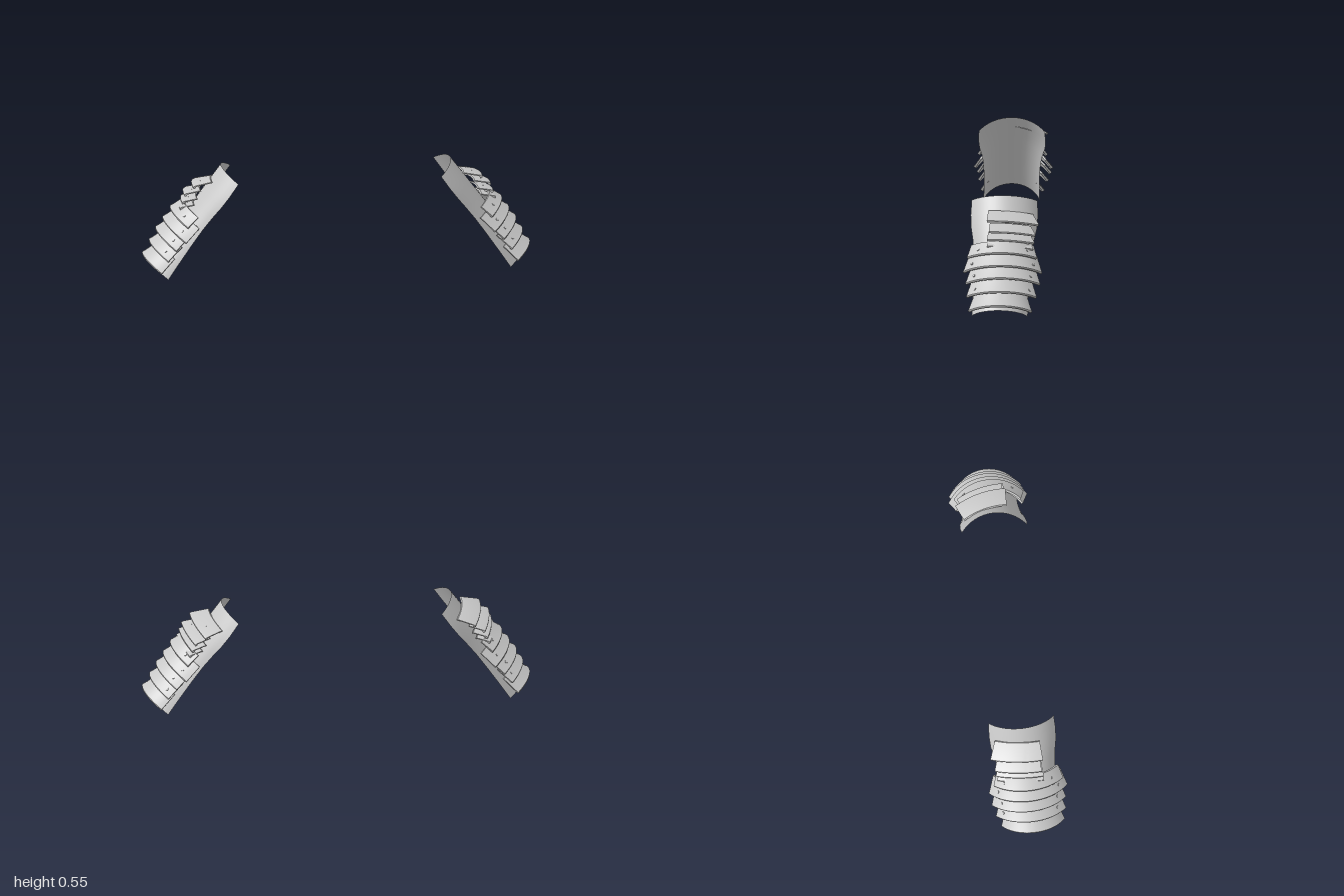
import * as THREE from 'three';
import { toCreasedNormals } from 'three/addons/utils/BufferGeometryUtils.js';

const steel = new THREE.MeshStandardMaterial({ color: 0xc8c8c8, side: THREE.DoubleSide });
steel.name = 'steel';

// Arm frame: s runs down the arm, h points outward, z stays front to back.
const toWorld = (s, h, z, side) =>
  new THREE.Vector3(side * (0.59 + 0.6 * s + 0.8 * h), 0.556 - 0.8 * s + 0.6 * h, z);

// Skins a row of cross-sections; closed sections also get end caps.
function sweep(rings, closed, side) {
  const n = rings[0].length, pos = [], idx = [];
  const tri = (a, b, c) => (side > 0 ? idx.push(a, b, c) : idx.push(a, c, b));
  rings.forEach(r => r.forEach(p => pos.push(...toWorld(...p, side).toArray())));
  for (let i = 0; i < rings.length - 1; i++) {
    for (let j = 0; j < (closed ? n : n - 1); j++) {
      const k = (j + 1) % n, a = i * n + j, b = i * n + k;
      tri(a, a + n, b);
      tri(b, a + n, b + n);
    }
  }
  if (closed) {
    const e = (rings.length - 1) * n;
    for (let j = 0; j < n / 2 - 1; j++) {
      const q = [j, j + 1, n - 2 - j, n - 1 - j];
      tri(q[0], q[1], q[2]);
      tri(q[0], q[2], q[3]);
      tri(e + q[0], e + q[2], e + q[1]);
      tri(e + q[0], e + q[3], e + q[2]);
    }
  }
  const g = new THREE.BufferGeometry();
  g.setAttribute('position', new THREE.Float32BufferAttribute(pos, 3));
  g.setIndex(idx);
  return toCreasedNormals(g, 0.75);
}

function addMesh(group, name, geometry) {
  const m = new THREE.Mesh(geometry, steel);
  m.name = name;
  group.add(m);
  return m;
}

// Flared curved plate with a rolled lower rim and studs.
function addPlate(group, name, side, o) {
  const { s, h, L, k, t, R, zc, z0, z1, studs = [], studS } = o;
  const loop = [
    [-L, -k * L], [-0.016, -0.005], [-0.006, 0], [0, -0.005],
    [0, -t + 0.004], [-0.006, -t - 0.002], [-0.016, -t], [-L, -k * L - t * 0.6],
  ];
  const at = (phi, ds, dh) => [
    s + ds, h - R * (1 - Math.cos(phi)) + dh * Math.cos(phi), zc + (R + dh) * Math.sin(phi),
  ];
  const p0 = Math.asin((z0 - zc) / R), p1 = Math.asin((z1 - zc) / R), N = 18;
  const rings = [];
  for (let i = 0; i <= N; i++) {
    const phi = p0 + (p1 - p0) * i / N;
    rings.push(loop.map(([ds, dh]) => at(phi, ds, dh)));
  }
  addMesh(group, name, sweep(rings, true, side));
  for (const z of studs) {
    const phi = Math.asin((z - zc) / R);
    const base = toWorld(...at(phi, -studS, -k * studS), side);
    const tip = toWorld(...at(phi, -studS - k * 0.01, -k * studS + 0.01), side);
    const stud = addMesh(group, name + 'Stud', new THREE.CylinderGeometry(0.0075, 0.0075, 0.008, 12));
    stud.position.copy(base);
    stud.quaternion.setFromUnitVectors(new THREE.Vector3(0, 1, 0), tip.sub(base).normalize());
  }
}

// Thin curved backing shell, waisted below the wide top.
function addShell(group, side) {
  const rows = [ // s, half width, sag, z shift
    [0, 0.168, 0.085, 0], [0.08, 0.172, 0.088, 0], [0.15, 0.168, 0.088, 0],
    [0.22, 0.155, 0.086, 0.002], [0.3, 0.146, 0.085, 0.005], [0.4, 0.142, 0.088, 0.008],
    [0.52, 0.142, 0.093, 0.011], [0.616, 0.143, 0.098, 0.013],
  ];
  const rings = [], N = 16;
  for (let i = 0; i <= N; i++) {
    rings.push(rows.map(([s, w, f, dz]) => {
      const R = (w * w + f * f) / (2 * f);
      const phi = (2 * i / N - 1) * 2 * Math.atan(f / w);
      return [s, -R * (1 - Math.cos(phi)), dz + R * Math.sin(phi)];
    }));
  }
  addMesh(group, 'backingShell', sweep(rings, false, side));
}

function createGuard(side) {
  const group = new THREE.Group();
  group.name = side > 0 ? 'leftArmGuard' : 'rightArmGuard';
  addShell(group, side);

  // Wide overlapping plates: s, h, half width, drop, z shift, length, stud z
  const bands = [
    [0.336, 0.081, 0.180, 0.085, 0.004, 0.075, 0.133],
    [0.403, 0.077, 0.203, 0.118, 0.001, 0.1, 0.165],
    [0.468, 0.074, 0.192, 0.102, -0.002, 0.1, 0.153],
    [0.538, 0.063, 0.181, 0.092, 0.004, 0.1, 0.148],
    [0.611, 0.054, 0.164, 0.098, 0.010, 0.1, 0],
  ];
  bands.forEach(([s, h, w, f, zc, L, stud], i) => addPlate(group, 'widePlate' + (i + 1), side, {
    s, h, L, k: 0.35, t: 0.017, R: (w * w + f * f) / (2 * f), zc, z0: zc - w, z1: zc + w,
    studs: stud ? [-stud, stud] : [], studS: 0.035,
  }));

  // Narrow upper strips: s, h, length, back z, front z
  const strips = [
    [0.165, 0.076, 0.08, -0.18, 0.084],
    [0.226, 0.085, 0.07, -0.165, 0.072],
    [0.264, 0.072, 0.065, -0.16, 0.08],
    [0.295, 0.062, 0.06, -0.155, 0.08],
  ];
  strips.forEach(([s, h, L, z0, z1], i) => addPlate(group, 'narrowStrip' + (i + 1), side, {
    s, h, L, k: 0.8, t: 0.013, R: 0.45, zc: 0.05, z0, z1, studs: [-0.1, 0.01], studS: 0.036,
  }));
  return group;
}

export function createModel() {
  const model = new THREE.Group();
  model.name = 'armGuards';
  model.add(createGuard(1), createGuard(-1));
  return model;
}
